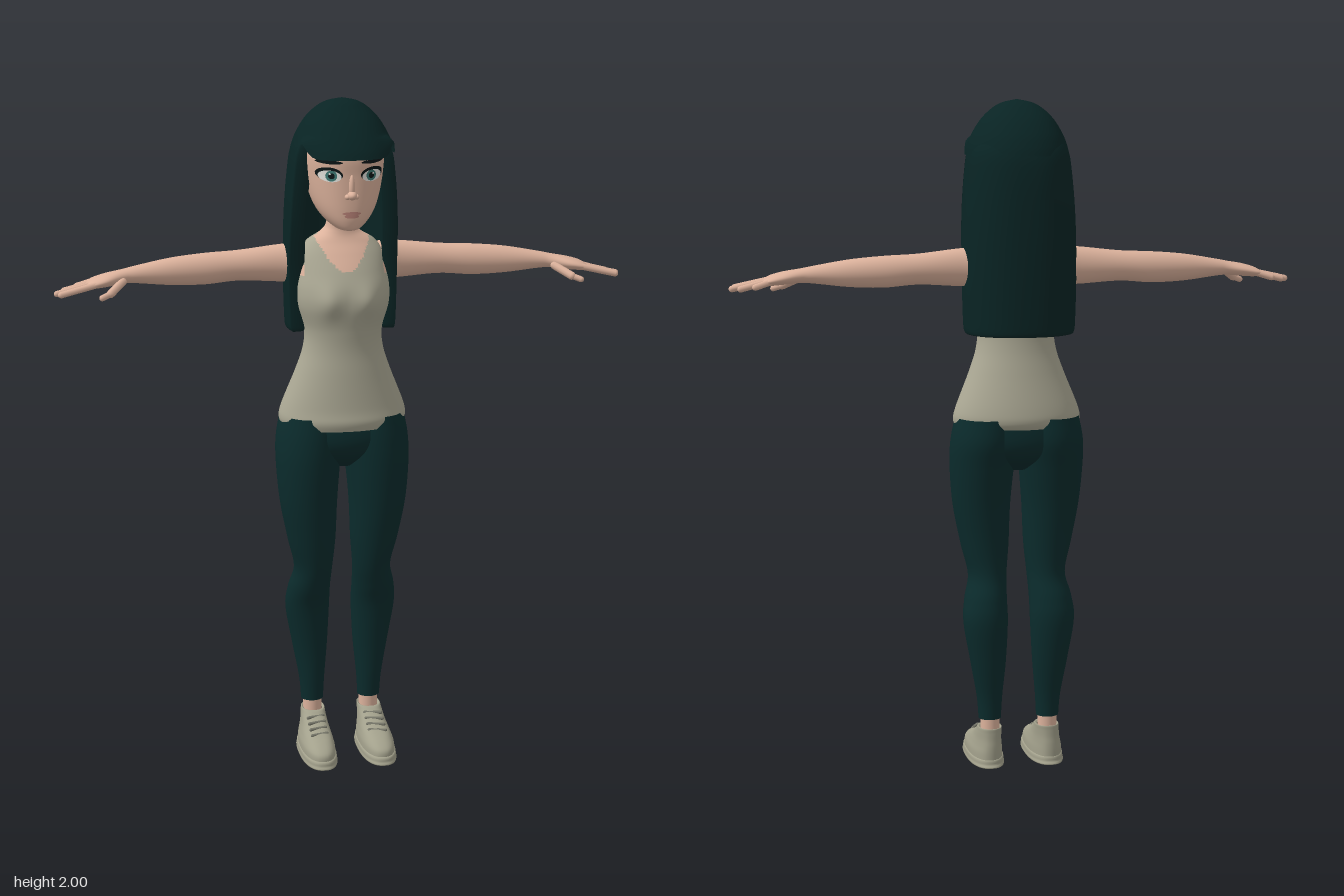
import * as THREE from 'three';

const mat = (name, color, side = THREE.FrontSide) => {
  const m = new THREE.MeshStandardMaterial({ color, side });
  m.name = name;
  return m;
};

// Spline through a table of cross-sections, row by row
function sample(rows, u) {
  const f = u * (rows.length - 1), i = Math.min(Math.floor(f), rows.length - 2), t = f - i;
  const at = k => rows[Math.max(0, Math.min(rows.length - 1, k))];
  return rows[0].map((_, c) => {
    const [a, b, d, e] = [at(i - 1)[c], at(i)[c], at(i + 1)[c], at(i + 2)[c]];
    return b + 0.5 * t * (d - a + t * (2 * a - 5 * b + 4 * d - e + t * (3 * (b - d) + e - a)));
  });
}

// Surface over closed loops of points; pick() may send a face to a second material
function grid(loops, flip = false, pick = null) {
  const n = loops[0].length, lists = [[], []];
  for (let i = 0; i < loops.length - 1; i++) for (let j = 0; j < n; j++) {
    const k = (j + 1) % n, a = i * n + j, b = i * n + k, c = a + n, d = b + n;
    const p = loops[i][j], q = loops[i + 1][k];
    const mid = p.map((v, m) => (v + q[m]) / 2);
    lists[pick && pick(...mid) ? 1 : 0].push(...(flip ? [a, b, c, b, d, c] : [a, c, b, b, c, d]));
  }
  const g = new THREE.BufferGeometry();
  g.setAttribute('position', new THREE.Float32BufferAttribute(loops.flat(2), 3));
  g.setIndex([...lists[0], ...lists[1]]);
  if (pick) {
    g.addGroup(0, lists[0].length, 0);
    g.addGroup(lists[0].length, lists[1].length, 1);
  }
  g.computeVertexNormals();
  return g;
}

const spow = (v, p) => Math.sign(v) * Math.abs(v) ** p;

// Loft of rows [height, centre, half width, front z, back z]
function loft(rows, { seg = 40, steps = 6, power = 1, along = 'y', warp = null, pick = null } = {}) {
  const loops = [], total = (rows.length - 1) * steps;
  for (let i = 0; i <= total; i++) {
    const [t, c, r, zf, zb] = sample(rows, i / total), loop = [];
    for (let j = 0; j < seg; j++) {
      const a = (j / seg) * Math.PI * 2;
      const w = c + Math.max(r, 0.001) * spow(Math.cos(a), power);
      const z = (zf + zb) / 2 + ((zf - zb) / 2) * spow(Math.sin(a), power);
      const p = along === 'y' ? [w, t, z] : [t, w, z];
      loop.push(warp ? warp(...p) : p);
    }
    loops.push(loop);
  }
  return grid(loops, along !== 'y', pick);
}

function mirrored(g) {
  const m = g.clone().scale(-1, 1, 1), ix = m.index.array;
  for (let i = 0; i < ix.length; i += 3) [ix[i], ix[i + 1]] = [ix[i + 1], ix[i]];
  return m;
}

// Rounded rod between two points
function rod(from, to, r) {
  const a = new THREE.Vector3(...from), b = new THREE.Vector3(...to), d = b.clone().sub(a);
  const g = new THREE.CapsuleGeometry(r, d.length(), 4, 10);
  g.applyQuaternion(new THREE.Quaternion().setFromUnitVectors(new THREE.Vector3(0, 1, 0), d.clone().normalize()));
  return g.translate(...a.add(b).multiplyScalar(0.5).toArray());
}

export function createModel() {
  const model = new THREE.Group();
  const skin = mat('skin', 0xdcb29c), top = mat('top fabric', 0xaaa793, THREE.DoubleSide);
  const pants = mat('trousers', 0x0b2b2c, THREE.DoubleSide), hair = mat('hair', 0x092424, THREE.DoubleSide);
  const shoe = mat('shoe', 0xa3a18c), lace = mat('laces', 0x77776a);
  const white = mat('eye white', 0xe6e4de), iris = mat('iris', 0x3f7a74), dark = mat('lash', 0x0c1516);
  const lips = mat('lips', 0xbd857a);
  const add = (name, g, m) => {
    const mesh = new THREE.Mesh(g, m);
    mesh.name = name;
    model.add(mesh);
  };
  const pair = (name, g, m) => {
    add(name + 'Left', g, m);
    add(name + 'Right', mirrored(g), m);
  };

  // Torso: tank top below, bare neck and shoulders above
  const isSkin = (x, y, z) => {
    const ax = Math.abs(x), low = z > -0.03 ? 1.505 : 1.54;
    if (y > 1.612) return true;
    return y > 1.49 && (ax > 0.118 || ax < 0.08 * Math.sqrt(Math.max(0, (y - low) / 0.09)));
  };
  const bust = (x, y, z) => [x, y, z > 0
    ? z + 0.014 * Math.exp(-(((Math.abs(x) - 0.06) / 0.035) ** 2) - ((y - 1.42) / 0.045) ** 2) : z];
  add('torso', loft([
    [1.035, 0, 0.18, 0.112, -0.115], [1.06, 0, 0.191, 0.117, -0.128], [1.1, 0, 0.183, 0.11, -0.124],
    [1.2, 0, 0.143, 0.1, -0.1], [1.27, 0, 0.12, 0.094, -0.085], [1.33, 0, 0.116, 0.097, -0.08],
    [1.4, 0, 0.135, 0.106, -0.085], [1.45, 0, 0.138, 0.1, -0.09], [1.5, 0, 0.132, 0.078, -0.095],
    [1.55, 0, 0.124, 0.048, -0.095], [1.585, 0, 0.1, 0.025, -0.088], [1.61, 0, 0.06, 0.015, -0.078],
    [1.635, 0, 0.043, 0.015, -0.068], [1.69, 0, 0.041, 0.025, -0.065],
  ], { seg: 96, steps: 10, warp: bust, pick: isSkin }), [top, skin]);

  // Trousers
  add('trouserSeat', loft([
    [0.91, 0, 0.03, 0.04, -0.05], [0.95, 0, 0.15, 0.085, -0.1], [1.0, 0, 0.19, 0.103, -0.12], [1.08, 0, 0.175, 0.095, -0.115],
  ]), pants);
  pair('trouserLeg', loft([
    [0.15, 0.089, 0.034, -0.003, -0.069], [0.22, 0.09, 0.039, 0, -0.074], [0.33, 0.095, 0.054, 0.004, -0.09],
    [0.45, 0.102, 0.067, 0.018, -0.102], [0.52, 0.099, 0.064, 0.04, -0.092], [0.59, 0.09, 0.058, 0.06, -0.07],
    [0.68, 0.096, 0.072, 0.078, -0.07], [0.8, 0.105, 0.086, 0.095, -0.084], [0.92, 0.105, 0.096, 0.105, -0.108],
    [1.0, 0.1, 0.099, 0.104, -0.125], [1.07, 0.095, 0.09, 0.095, -0.12],
  ]), pants);
  pair('ankle', new THREE.CylinderGeometry(0.029, 0.029, 0.14, 24).translate(0.088, 0.14, -0.037), skin);

  // Shoes with soles and laces
  pair('sole', loft([
    [0, 0.092, 0.002, 0.056, 0.054], [0.001, 0.092, 0.051, 0.188, -0.078], [0.013, 0.092, 0.054, 0.194, -0.082],
    [0.026, 0.092, 0.052, 0.19, -0.08], [0.028, 0.092, 0.04, 0.17, -0.07],
  ], { power: 0.82, steps: 4 }), shoe);
  pair('shoeUpper', loft([
    [0.02, 0.092, 0.051, 0.188, -0.079], [0.045, 0.092, 0.05, 0.182, -0.079], [0.066, 0.091, 0.045, 0.145, -0.078],
    [0.086, 0.09, 0.04, 0.085, -0.076], [0.108, 0.089, 0.037, 0.035, -0.075], [0.122, 0.088, 0.035, 0.012, -0.074],
    [0.118, 0.088, 0.028, 0, -0.065],
  ], { power: 0.85 }), shoe);
  for (let i = 0; i < 4; i++) {
    const y = 0.078 + i * 0.01, z = 0.102 - i * 0.023;
    pair('lace' + i, rod([0.066, y, z - 0.012], [0.114, y, z], 0.005), lace);
  }

  // Arms, palms and fingers
  pair('arm', loft([
    [0.07, 1.51, 0.04, -0.01, -0.075], [0.12, 1.518, 0.056, 0.003, -0.092], [0.18, 1.517, 0.055, -0.004, -0.091],
    [0.3, 1.514, 0.045, -0.008, -0.09], [0.4, 1.508, 0.046, -0.005, -0.088], [0.5, 1.505, 0.04, -0.003, -0.078],
    [0.6, 1.502, 0.026, -0.002, -0.06], [0.64, 1.499, 0.021, 0.005, -0.055], [0.69, 1.492, 0.019, 0.032, -0.061],
    [0.73, 1.485, 0.014, 0.036, -0.059], [0.75, 1.482, 0.002, 0.026, -0.048],
  ], { along: 'x' }), skin);
  [[0.026, 0.824, 0.039, 1.463], [0.002, 0.834, 0.01, 1.461], [-0.022, 0.812, -0.024, 1.463], [-0.046, 0.772, -0.052, 1.47]]
    .forEach(([z, x, tipZ, y], i) => pair('finger' + i, rod([0.72, 1.486, z], [x, y, tipZ], 0.0095), skin));
  pair('thumb', rod([0.645, 1.488, 0.005], [0.685, 1.464, 0.055], 0.012), skin);
  pair('thumbTip', rod([0.685, 1.464, 0.055], [0.71, 1.455, 0.066], 0.009), skin);

  // Head
  const headRows = [
    [1.632, 0, 0.01, 0.112, 0.08], [1.638, 0, 0.035, 0.126, 0.02], [1.66, 0, 0.062, 0.134, -0.03],
    [1.69, 0, 0.084, 0.137, -0.07], [1.73, 0, 0.1, 0.138, -0.1], [1.79, 0, 0.113, 0.138, -0.125],
    [1.85, 0, 0.116, 0.138, -0.13], [1.89, 0, 0.1, 0.11, -0.12], [1.94, 0, 0.03, 0.03, -0.05],
  ];
  const headPower = 0.88;
  add('head', loft(headRows, { seg: 64, steps: 8, power: headPower }), skin);
  const faceZ = (x, y) => {
    let lo = 0, hi = 1;
    for (let i = 0; i < 24; i++) {
      const m = (lo + hi) / 2;
      if (sample(headRows, m)[0] < y) lo = m; else hi = m;
    }
    const [, , r, zf, zb] = sample(headRows, lo);
    const k = Math.max(0, 1 - (Math.abs(x) / r) ** (2 / headPower));
    return (zf + zb) / 2 + ((zf - zb) / 2) * k ** (headPower / 2);
  };
  // Thin oval laid on the face
  const patch = (x, y, w, h, lift, tilt = 0) => {
    const g = new THREE.RingGeometry(0, 1, 28, 4).scale(w, h, 1).rotateZ(tilt).translate(x, y, 0);
    const p = g.attributes.position;
    for (let i = 0; i < p.count; i++) p.setZ(i, faceZ(p.getX(i), p.getY(i)) + lift);
    g.computeVertexNormals();
    return g;
  };
  pair('lash', patch(0.062, 1.798, 0.036, 0.02, 0.002, 0.12), dark);
  pair('eyeWhite', patch(0.061, 1.793, 0.031, 0.0165, 0.0035, 0.1), white);
  pair('iris', patch(0.058, 1.794, 0.0155, 0.0155, 0.005), iris);
  pair('pupil', patch(0.058, 1.794, 0.0085, 0.0085, 0.0065), dark);
  pair('eyeGlint', patch(0.063, 1.8, 0.003, 0.003, 0.008), white);
  pair('brow', patch(0.063, 1.833, 0.036, 0.0055, 0.003, 0.05), dark);
  add('upperLip', patch(0, 1.686, 0.027, 0.005, 0.003), lips);
  add('lowerLip', patch(0, 1.678, 0.021, 0.006, 0.0035), lips);
  const ball = (w, h, d, x, y, z) => new THREE.SphereGeometry(1, 20, 14).scale(w, h, d).translate(x, y, z);
  add('noseTip', ball(0.014, 0.013, 0.023, 0, 1.738, 0.14), skin);
  add('noseBridge', ball(0.009, 0.035, 0.012, 0, 1.762, 0.136), skin);
  pair('nostril', ball(0.009, 0.008, 0.012, 0.012, 1.734, 0.138), skin);

  // Hair crown with fringe, raised at the temples
  const temple = (x, y, z) => [x, y + (y < 1.9
    ? 0.04 * Math.exp(-(((z - 0.075) / 0.028) ** 2)) * (1.9 - y) / 0.06 : 0), z];
  add('hairCrown', loft([
    [1.84, 0, 0.151, 0.16, -0.175], [1.865, 0, 0.146, 0.148, -0.167], [1.9, 0, 0.132, 0.124, -0.15],
    [1.94, 0, 0.108, 0.09, -0.12], [1.97, 0, 0.079, 0.056, -0.086], [1.99, 0, 0.046, 0.028, -0.052],
    [2.0, 0, 0.001, -0.009, -0.011],
  ], { seg: 72, power: 0.93, warp: temple }), hair);

  // Long hair: a thick curtain around the back and sides, rows [y, half width, front z, back z, thickness]
  const curtain = [
    [1.322, 0.152, 0.012, -0.178, 0.01], [1.325, 0.16, 0.018, -0.187, 0.8], [1.36, 0.164, 0.02, -0.19, 1],
    [1.5, 0.167, 0.022, -0.192, 1], [1.65, 0.164, 0.042, -0.19, 1], [1.78, 0.154, 0.052, -0.182, 1],
    [1.86, 0.14, 0.05, -0.163, 1], [1.92, 0.1, 0.03, -0.115, 1],
  ];
  const loops = [];
  for (let i = 0; i <= 42; i++) {
    const [y, rx, zf, zb, th] = sample(curtain, i / 42), loop = [], n = 40, zc = -0.05, over = 0.5;
    for (let j = 0; j <= 2 * n + 1; j++) {
      const inner = j > n, k = inner ? 2 * n + 1 - j : j;
      const a = -over + (k / n) * (Math.PI + 2 * over), s = Math.sin(a);
      const t = inner ? th : 0;
      const depth = s > 0 ? zc - zb - 0.035 * t : (zf - zc - 0.008 * t) / Math.sin(over);
      const side = s > 0 ? spow(Math.cos(a), 0.85) : Math.sign(Math.cos(a)) * (0.6 + 0.4 * Math.abs(Math.cos(a)));
      loop.push([side * (rx - 0.045 * t), y, zc - depth * s]);
    }
    loops.push(loop);
  }
  add('longHair', grid(loops, true), hair);
  return model;
}
